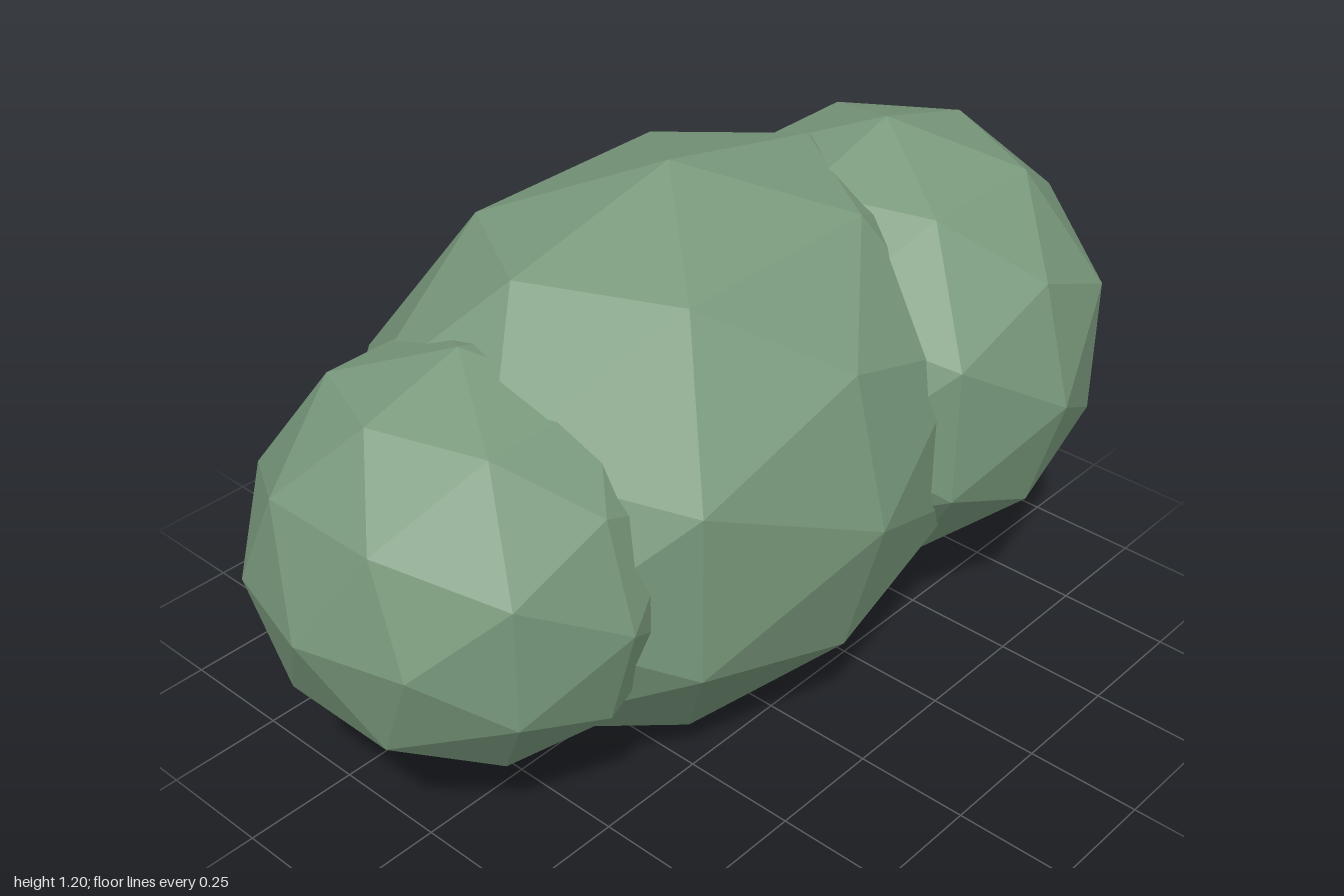
import * as THREE from 'three';

export function createModel() {
  const group = new THREE.Group();
  group.name = 'bush';
  const leafGreen = new THREE.MeshStandardMaterial({ color: 0x7a9a7d, flatShading: true });
  leafGreen.name = 'leafGreen';

  // One faceted clump of foliage, stretched to the given radii
  const clump = (name, position, radii) => {
    const mesh = new THREE.Mesh(new THREE.IcosahedronGeometry(1, 1).scale(...radii), leafGreen);
    mesh.name = name;
    mesh.position.set(...position);
    group.add(mesh);
  };

  clump('middleClump', [-0.015, 0.602, -0.03], [0.8, 0.602, 0.56]);
  clump('leftClump', [0.505, 0.664, 0.095], [0.493, 0.493, 0.493]);
  clump('rightClump', [-0.57, 0.604, -0.03], [0.43, 0.43, 0.43]);

  return group;
}
